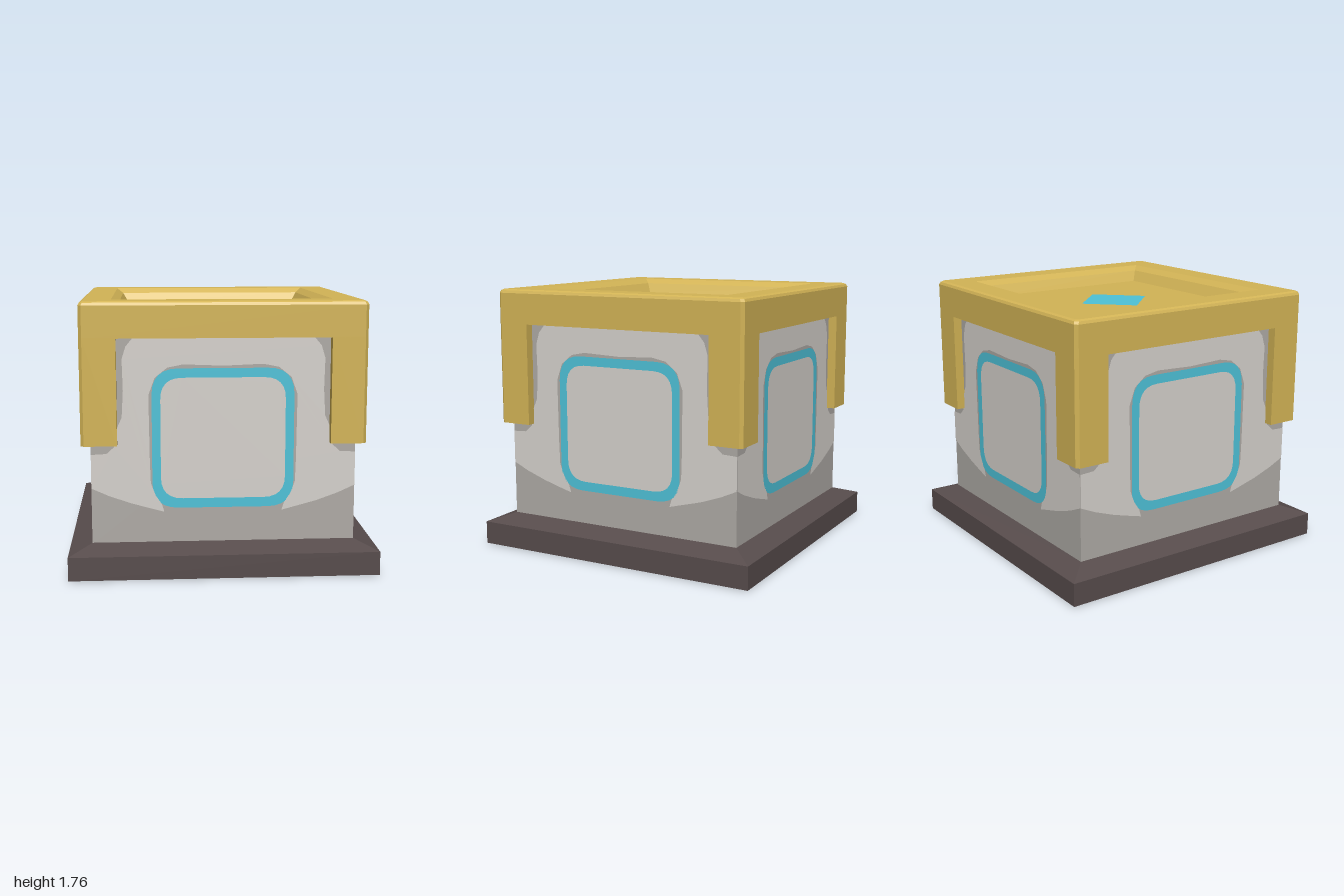
import * as THREE from 'three';

const mat = (name, color, side = THREE.FrontSide) => {
  const m = new THREE.MeshStandardMaterial({ color, side });
  m.name = name;
  return m;
};

// Square cross-sections [halfWidth, y, cornerCut] joined from bottom to top, flat shaded
function squareLoft(sections) {
  const pos = [];
  const rings = sections.map(([h, y, c = 0]) => {
    const ring = [];
    for (let k = 0; k < 4; k++) {
      for (const [x, z] of [[-(h - c), h], [h - c, h]]) {
        const p = new THREE.Vector3(x, y, z);
        for (let r = 0; r < k; r++) p.set(p.z, p.y, -p.x);
        ring.push(p);
      }
    }
    return ring;
  });
  const tri = (...ps) => {
    const area = new THREE.Triangle(...ps).getArea();
    if (area > 1e-8) ps.forEach(p => pos.push(p.x, p.y, p.z));
  };
  for (let s = 0; s < rings.length - 1; s++) {
    for (let i = 0; i < 8; i++) {
      const j = (i + 1) % 8;
      const [a, b, c, d] = [rings[s][i], rings[s][j], rings[s + 1][j], rings[s + 1][i]];
      tri(a, b, c);
      tri(a, c, d);
    }
  }
  const g = new THREE.BufferGeometry();
  g.setAttribute('position', new THREE.Float32BufferAttribute(pos, 3));
  g.computeVertexNormals();
  return g;
}

// Rounded rectangle outline
function roundedRect(path, x0, x1, y0, y1, r) {
  path.moveTo(x0 + r, y0);
  path.lineTo(x1 - r, y0);
  path.quadraticCurveTo(x1, y0, x1, y0 + r);
  path.lineTo(x1, y1 - r);
  path.quadraticCurveTo(x1, y1, x1 - r, y1);
  path.lineTo(x0 + r, y1);
  path.quadraticCurveTo(x0, y1, x0, y1 - r);
  path.lineTo(x0, y0 + r);
  path.quadraticCurveTo(x0, y0, x0 + r, y0);
  return path;
}

// Worn light area of a wall, arching over the glowing ring
function lightWallShape() {
  const right = [
    [0, 1.355], [0.25, 1.365], [0.35, 1.345], [0.43, 1.28], [0.47, 1.17], [0.465, 0.75],
    [0.46, 0.6], [0.43, 0.52], [0.39, 0.46], [0.375, 0.41], [0.45, 0.43], [0.6, 0.47],
    [0.74, 0.52], [0.85, 0.57], [0.85, 0.79], [0.75, 0.795], [0.7, 0.84], [0.69, 0.94],
    [0.65, 1.03], [0.64, 1.2], [0.645, 1.4], [0.62, 1.48], [0.57, 1.54],
  ];
  const left = right.slice(1).reverse().map(([x, y]) => [-x - (x < 0.5 ? 0.01 : 0), y]);
  return new THREE.Shape([...right, ...left].map(([x, y]) => new THREE.Vector2(x, y)));
}

export function createModel() {
  const model = new THREE.Group();
  const gold = mat('gold', 0xd3b456);
  const lightStone = mat('light stone', 0xd5d1cc);
  const darkStone = mat('dark stone', 0xaeaaa5);
  const glow = mat('cyan', 0x4ec2d8);
  const plinthDark = mat('dark plinth', 0x574c4c);

  const add = (name, geo, material, parent = model) => {
    const m = new THREE.Mesh(geo, material);
    m.name = name;
    parent.add(m);
    return m;
  };

  // Plinth with sloping rim
  add('plinth', squareLoft([[1, 0.004], [1, 0.158], [0.85, 0.21], [0, 0.21]]), plinthDark);
  const underside = add('underside', new THREE.PlaneGeometry(2, 2), gold);
  underside.rotation.x = Math.PI / 2;
  underside.position.y = 0.004;

  // Stone body
  add('body', new THREE.BoxGeometry(1.7, 1.36, 1.7).translate(0, 0.88, 0), darkStone);

  // Cap with rounded rim and sunken top
  const floorY = 1.66;
  add('cap', squareLoft([
    [0, 1.535], [0.91, 1.535, 0.02], [0.91, 1.74, 0.02], [0.902, 1.757, 0.02], [0.885, 1.765, 0.015],
    [0.71, 1.765], [0.665, 1.732], [0.62, floorY], [0, floorY],
  ]), gold);

  // Diamond inlays on top and underneath
  const diamond = (name, r, y, turn) => {
    const d = add(name, new THREE.CircleGeometry(r, 4), glow);
    d.rotation.x = turn;
    d.position.y = y;
  };
  diamond('topDiamond', 0.27, floorY + 0.004, -Math.PI / 2);
  diamond('bottomDiamond', 0.47, 0, Math.PI / 2);

  // Corner bracket section, outer edge chamfered
  const legShape = new THREE.Shape([
    [0.68, 0.68], [0.91, 0.68], [0.91, 0.89], [0.89, 0.91], [0.68, 0.91],
  ].map(([x, y]) => new THREE.Vector2(x, y)));
  const legGeo = new THREE.ExtrudeGeometry(legShape, { depth: 0.685, bevelEnabled: false })
    .rotateX(Math.PI / 2).translate(0, 1.54, 0);

  // Wall paintwork
  const ringShape = roundedRect(new THREE.Shape(), -0.46, 0.45, 0.435, 1.34, 0.17);
  ringShape.holes.push(roundedRect(new THREE.Path(), -0.405, 0.395, 0.497, 1.28, 0.14));
  const panelShape = roundedRect(new THREE.Shape(), -0.405, 0.395, 0.497, 1.28, 0.14);
  const lightGeo = new THREE.ShapeGeometry(lightWallShape());
  const ringGeo = new THREE.ShapeGeometry(ringShape, 6);
  const panelGeo = new THREE.ShapeGeometry(panelShape, 6);

  for (let i = 0; i < 4; i++) {
    const side = new THREE.Group();
    side.name = 'side' + (i + 1);
    side.rotation.y = i * Math.PI / 2;
    add('cornerBracket', legGeo, gold, side);
    add('lightWall', lightGeo, lightStone, side).position.z = 0.853;
    add('glowRing', ringGeo, glow, side).position.z = 0.853;
    add('centrePanel', panelGeo, lightStone, side).position.z = 0.853;
    model.add(side);
  }
  return model;
}
